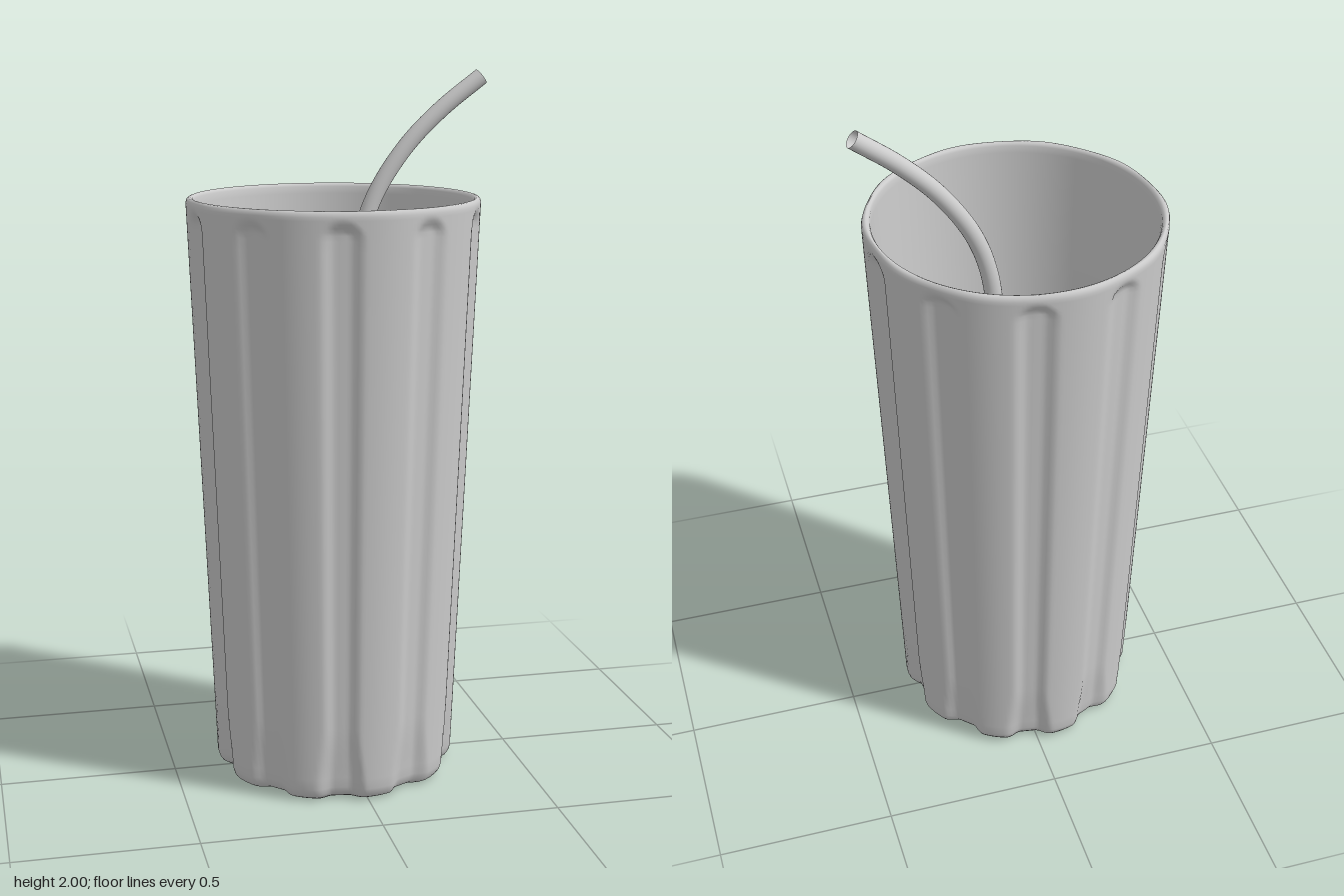
import * as THREE from 'three';
import { mergeVertices } from 'three/addons/utils/BufferGeometryUtils.js';

const HEIGHT = 1.66, FLUTES = 10, CENTER_X = -0.025;
const smooth = THREE.MathUtils.smoothstep;
const outerRadius = (y) => 0.343 + 0.067 * (y / HEIGHT);

// Closed section of the tumbler: underside, outer wall, rounded lip, inner wall, floor
function tumblerProfile() {
  const p = [[0, 0.012], [0.15, 0.01], [0.25, 0.006], [0.3, 0.003], [0.318, 0.004], [0.331, 0.011], [0.339, 0.022]];
  for (const y of [0.04, 0.07, 0.1, 0.14, 0.18, 0.22, 0.3, 0.5, 0.75, 1, 1.25, 1.45, 1.55, 1.58,
    1.595, 1.605, 1.615, 1.625, 1.635, 1.645]) p.push([outerRadius(y), y]);
  p.push([0.407, 1.654], [0.402, 1.659], [0.396, 1.66], [0.39, 1.657], [0.386, 1.65]);
  p.push([0.384, 1.63], [0.366, 1.2], [0.348, 0.75], [0.33, 0.3], [0.322, 0.11]);
  p.push([0.318, 0.08], [0.308, 0.065], [0.29, 0.06], [0.15, 0.06], [0, 0.06]);
  return p.map(([r, y]) => new THREE.Vector2(r, y));
}

// Presses round-ended grooves into the outer wall; they flare near the base
function fluteDepth(angle, r, y) {
  const step = (Math.PI * 2) / FLUTES;
  const offset = angle + THREE.MathUtils.degToRad(9);
  const d = Math.abs(offset - Math.round(offset / step) * step);
  const flare = 1 - smooth(y, 0.02, 0.22);
  const halfWidth = 0.15 + 0.06 * flare;
  const across = 1 - smooth(d, halfWidth * 0.35, halfWidth);
  const end = 1 - smooth(y + d * d * 1.5, 1.6, 1.637);
  const broad = 0.004 * (0.5 + 0.5 * Math.cos(offset * FLUTES));
  return (across * end * (0.015 + 0.008 * flare) + broad) * smooth(r, 0.2, 0.33);
}

function makeTumbler(material) {
  const profile = tumblerProfile();
  const outerCount = profile.findIndex((p) => p.y === HEIGHT);
  const geo = new THREE.LatheGeometry(profile, 240);
  const pos = geo.attributes.position;
  for (let i = 0; i < pos.count; i++) {
    const row = i % profile.length;
    if (row >= outerCount) continue;
    const { x: r, y } = profile[row];
    if (r === 0) continue;
    const angle = Math.atan2(pos.getX(i), pos.getZ(i));
    const k = (r - fluteDepth(angle, r, y)) / r;
    pos.setX(i, pos.getX(i) * k);
    pos.setZ(i, pos.getZ(i) * k);
  }
  // Weld the seam so the normals run smoothly all round
  geo.deleteAttribute('uv');
  geo.deleteAttribute('normal');
  const welded = mergeVertices(geo, 1e-5);
  welded.computeVertexNormals();
  const mesh = new THREE.Mesh(welded, material);
  mesh.name = 'tumbler';
  mesh.position.x = CENTER_X;
  return mesh;
}

// Hollow straw: upright in the glass, bending out over the rim
function makeStraw(material) {
  const path = new THREE.CatmullRomCurve3([
    [0.045, 0.065], [0.045, 0.6], [0.045, 1.1], [0.05, 1.38], [0.07, 1.54],
    [0.113, 1.66], [0.2, 1.79], [0.3, 1.89], [0.416, 1.98],
  ].map(([x, y]) => new THREE.Vector3(x, y, -0.065)));
  const mesh = new THREE.Mesh(new THREE.TubeGeometry(path, 90, 0.024, 24), material);
  mesh.name = 'straw';
  return mesh;
}

export function createModel() {
  const group = new THREE.Group();
  group.name = 'tumblerWithStraw';
  group.add(
    makeTumbler(new THREE.MeshStandardMaterial({ color: 0xcccccc })),
    makeStraw(new THREE.MeshStandardMaterial({ color: 0xcccccc, side: THREE.DoubleSide })),
  );
  return group;
}
